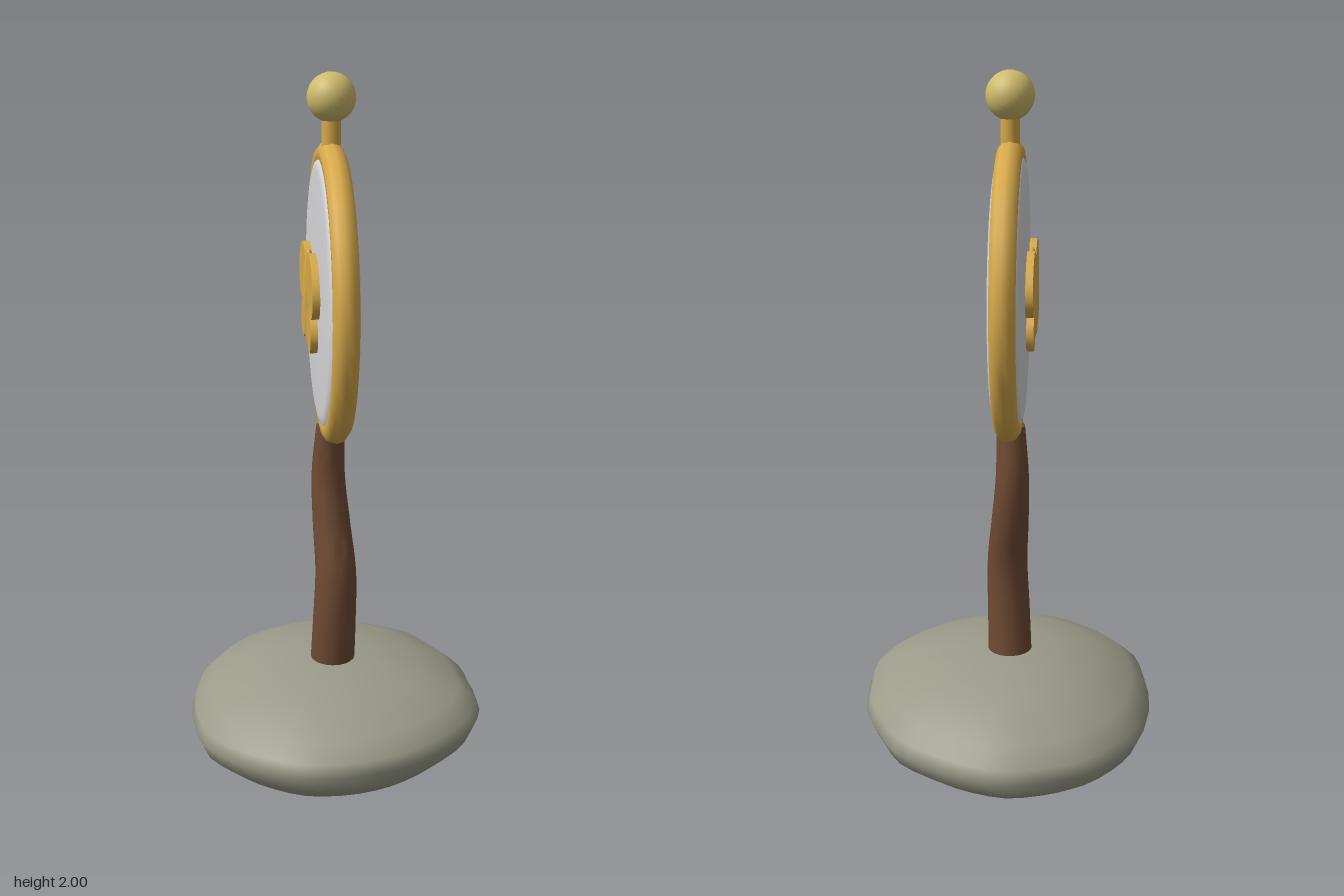
import * as THREE from 'three';
import { mergeVertices, toCreasedNormals } from 'three/addons/utils/BufferGeometryUtils.js';

const mat = (name, color) => new THREE.MeshStandardMaterial({ name, color });
const v2 = ([x, y]) => new THREE.Vector2(x, y);

function add(parent, name, geometry, material, x = 0, y = 0, z = 0) {
  const mesh = new THREE.Mesh(geometry, material);
  mesh.name = name;
  mesh.position.set(x, y, z);
  parent.add(mesh);
  return mesh;
}

// Flattened boulder: a lathe whose radius follows an uneven outline
function stoneGeometry() {
  // radius every 15 degrees, from +x towards +z
  const outline = [.447, .45, .453, .456, .445, .44, .437, .415, .407, .41, .425, .437,
    .453, .458, .468, .457, .45, .455, .44, .442, .436, .453, .455, .447];
  const profile = [[0, 0], [.25, .004], [.55, .022], [.83, .066], [.95, .112], [1, .162],
    [.97, .198], [.86, .24], [.62, .29], [.32, .318], [0, .325]];
  const geo = new THREE.LatheGeometry(profile.map(v2), 48);
  const p = geo.attributes.position;
  for (let i = 0; i < p.count; i++) {
    const x = p.getX(i), y = p.getY(i), z = p.getZ(i);
    const a = ((Math.atan2(z, x) / (Math.PI * 2) + 1) % 1) * 24;
    const k = Math.floor(a) % 24, f = a - Math.floor(a);
    const r = outline[k] * (1 - f) + outline[(k + 1) % 24] * f;
    p.setXYZ(i, x * r, y + 0.015 * x * Math.sin(Math.PI * y / 0.325), z * r);
  }
  geo.deleteAttribute('normal');
  geo.deleteAttribute('uv');
  const merged = mergeVertices(geo, 1e-4);
  merged.computeVertexNormals();
  return merged;
}

// Tapered cylinder bent along a gentle S
function handleGeometry() {
  const curve = new THREE.CatmullRomCurve3([
    [.014, .27, -.003], [.03, .44, 0], [.031, .6, -.004], [0, .74, -.011],
    [-.02, .88, -.014], [-.007, 1.03, -.012],
  ].map((c) => new THREE.Vector3(...c)));
  const geo = new THREE.CylinderGeometry(1, 1, 1, 20, 24);
  const p = geo.attributes.position;
  for (let i = 0; i < p.count; i++) {
    const t = p.getY(i) + 0.5, c = curve.getPoint(t);
    const r = 0.065 - 0.009 * t - 0.016 * t * t;
    p.setXYZ(i, c.x + p.getX(i) * r, c.y, c.z + p.getZ(i) * r);
  }
  return toCreasedNormals(geo, 0.9);
}

export function createModel() {
  const group = new THREE.Group();
  group.name = 'ornamentalMirror';
  const stone = mat('stone', 0x9a9b89);
  const wood = mat('wood', 0x6f4a33);
  const gold = mat('gold', 0xd7a94a);
  const paleGold = mat('paleGold', 0xcfbb6c);
  const silver = mat('silver', 0xd6d6d8);

  add(group, 'stoneBase', stoneGeometry(), stone);
  add(group, 'handle', handleGeometry(), wood);

  // Mirror head, turned about the vertical
  const head = new THREE.Group();
  head.name = 'mirrorHead';
  head.position.set(0, 1.41, -0.01);
  head.rotation.y = -Math.PI / 6;
  group.add(head);
  add(head, 'frame', new THREE.TorusGeometry(0.376, 0.035, 10, 32), gold);

  // Slightly domed disc with a rounded rim
  const half = [[0, .045], [.2, .044], [.335, .041], [.356, .036], [.368, .025], [.372, .012]];
  const profile = [...half.map(([r, h]) => [r, -h]), ...half.slice().reverse()];
  const disc = new THREE.LatheGeometry(profile.map(v2), 48);
  disc.rotateX(Math.PI / 2);
  add(head, 'mirrorDisc', disc, silver);

  // Butterfly on the front face
  const butterfly = new THREE.Group();
  butterfly.name = 'butterfly';
  butterfly.position.z = 0.06;
  head.add(butterfly);
  const body = add(butterfly, 'butterflyBody', new THREE.SphereGeometry(1, 16, 16), gold, 0, -0.01, 0);
  body.scale.set(0.019, 0.136, 0.019);
  const wings = [
    ['UpperWing', .112, .048, .105, .076, -.43],
    ['LowerWing', .084, -.08, .066, .056, -.5],
  ];
  for (const side of [-1, 1]) {
    for (const [name, x, y, rx, ry, tilt] of wings) {
      const geo = new THREE.CylinderGeometry(1, 1, 0.02, 28);
      geo.rotateX(Math.PI / 2);
      const wing = add(butterfly, (side > 0 ? 'left' : 'right') + name, geo, gold, side * x, y, 0);
      wing.scale.set(rx, ry, 1);
      wing.rotation.z = side * tilt;
    }
  }

  // Finial
  add(group, 'finialStem', new THREE.CylinderGeometry(0.026, 0.026, 0.11, 16), gold, 0, 1.845, -0.01);
  add(group, 'finialBall', new THREE.SphereGeometry(0.065, 28, 20), paleGold, 0, 1.935, -0.01);
  return group;
}
